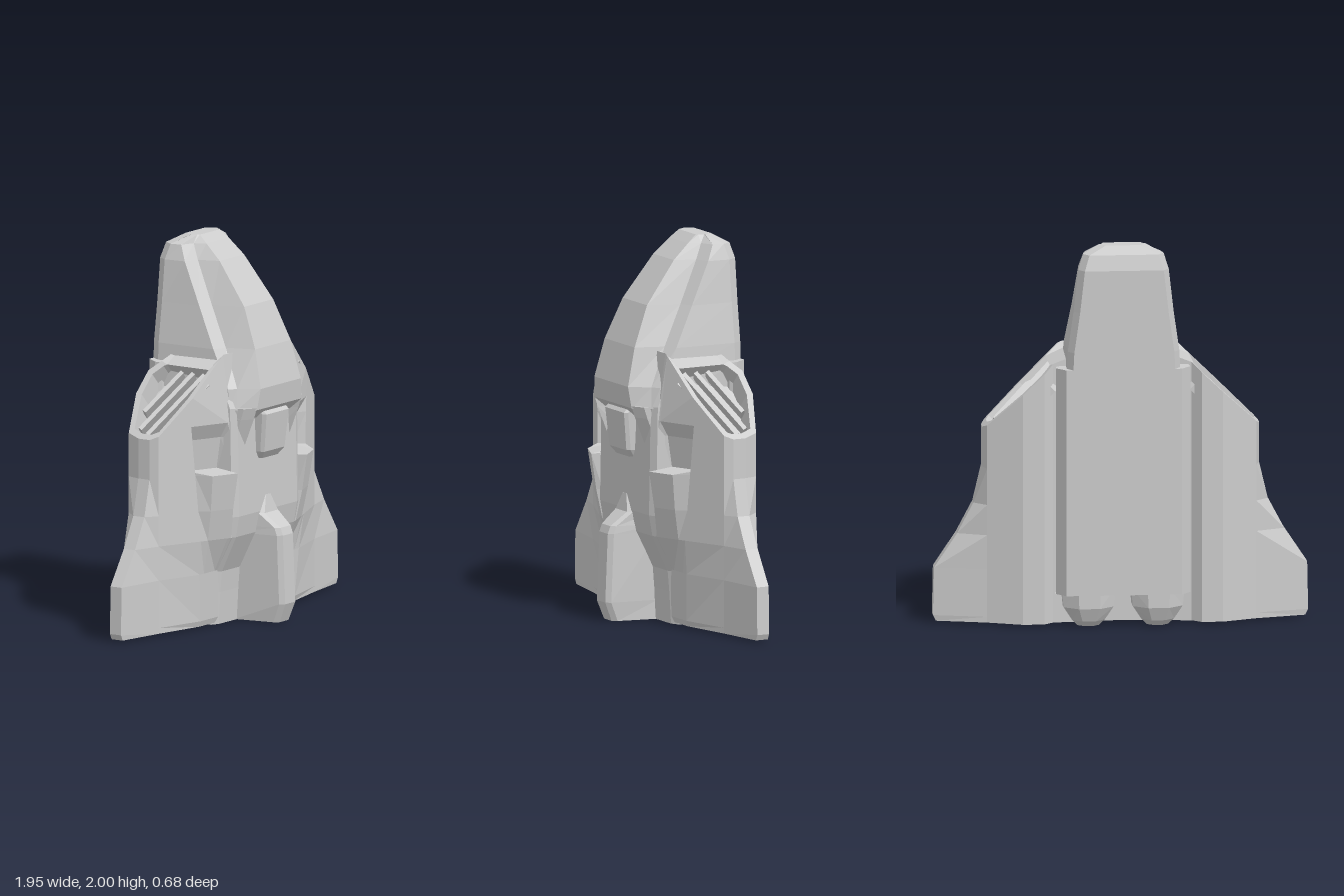
import * as THREE from 'three';

const mat = new THREE.MeshStandardMaterial({ color: 0xcccccc, flatShading: true, side: THREE.DoubleSide });

// Skin a stack of closed rings (bottom to top, front centre -> +x -> back), capped at both ends
function loft(rings) {
  const n = rings[0].length, pos = rings.flat(2), idx = [];
  for (let i = 0; i < rings.length - 1; i++)
    for (let k = 0; k < n; k++) {
      const a = i * n + k, b = i * n + (k + 1) % n;
      idx.push(a, b, b + n, a, b + n, a + n);
    }
  [0, rings.length - 1].forEach((r, top) => {
    const c = pos.length / 3;
    for (let j = 0; j < 3; j++) pos.push(rings[r].reduce((s, p) => s + p[j], 0) / n);
    for (let k = 0; k < n; k++) {
      const a = r * n + k, b = r * n + (k + 1) % n;
      idx.push(c, top ? a : b, top ? b : a);
    }
  });
  const g = new THREE.BufferGeometry();
  g.setAttribute('position', new THREE.Float32BufferAttribute(pos, 3));
  g.setIndex(idx);
  g.computeVertexNormals();
  return g;
}

// Ring at height y from a right half outline of [x, z] points
const sym = (y, half) => [
  ...half.map(([x, z]) => [x, y, z]),
  ...[...half].reverse().map(([x, z]) => [-x, y, z]),
];

function mirror(geo) {
  const g = geo.clone();
  g.scale(-1, 1, 1);
  const ix = g.index.array;
  for (let i = 0; i < ix.length; i += 3) [ix[i], ix[i + 1]] = [ix[i + 1], ix[i]];
  g.computeVertexNormals();
  return g;
}

export function createModel() {
  const group = new THREE.Group();
  const add = (name, geo) => {
    const m = new THREE.Mesh(geo, mat);
    m.name = name;
    group.add(m);
  };
  const pair = (name, geo) => {
    add(name + 'Left', geo);
    add(name + 'Right', mirror(geo));
  };

  // Hull with flat keel: height, front z, keel z
  const hull = ([y, front, rear]) =>
    sym(y, [[0.26, front], [0.3, front - 0.02], [0.35, rear + 0.07], [0.3, rear]]);
  add('hull', loft([
    [0, 0.07, -0.13], [0.17, 0.08, -0.13], [0.17, 0.08, -0.34], [0.28, 0.09, -0.34],
    [0.47, 0.18, -0.34], [0.58, 0.2, -0.34], [1.15, 0.19, -0.34], [1.36, 0.1, -0.34],
  ].map(hull)));

  // Nose and canopy: height, canopy half width and z, base half width and z, hull half width, back z
  const nose = ([y, a, za, b, zb, c, rear]) =>
    sym(y, [[a, za], [b, zb], [c, zb - 0.03], [c + 0.01, rear + 0.05], [c - 0.02, rear]]);
  add('nose', loft([
    [1.08, 0.19, 0.2, 0.26, 0.18, 0.28, -0.34],
    [1.14, 0.2, 0.27, 0.27, 0.19, 0.29, -0.34],
    [1.25, 0.18, 0.28, 0.25, 0.18, 0.29, -0.34],
    [1.45, 0.16, 0.23, 0.21, 0.08, 0.28, -0.34],
    [1.66, 0.13, 0.14, 0.18, -0.03, 0.25, -0.34],
    [1.88, 0.11, -0.03, 0.15, -0.14, 0.225, -0.34],
    [1.96, 0.1, -0.12, 0.13, -0.18, 0.2, -0.32],
    [2, 0.09, -0.17, 0.1, -0.18, 0.11, -0.26],
  ].map(nose)));

  // Side prongs and block below the canopy
  const prong = (y, z) => [[0.2, z], [0.26, z - 0.04], [0.28, 0.1], [0.18, 0.1]].map(([x, d]) => [x, y, d]);
  pair('canopyProng', loft([prong(0.94, 0.19), prong(1.09, 0.25), prong(1.15, 0.27)]));
  const block = ([y, x, z]) => sym(y, [[x - 0.01, z], [x, z - 0.02], [x, 0.15]]);
  add('canopyBlock', loft([[0.86, 0.08, 0.21], [0.9, 0.1, 0.24], [1.1, 0.11, 0.26], [1.12, 0.11, 0.24]].map(block)));

  // Tail fin: height, front half width, front z, base half width
  const fin = ([y, x, z, base]) => sym(y, [[x - 0.02, z], [x, z - 0.025], [base, 0.06]]);
  add('tailFin', loft([
    [0, 0.06, 0.3, 0.1], [0.1, 0.065, 0.34, 0.1], [0.46, 0.065, 0.325, 0.11],
    [0.5, 0.065, 0.31, 0.11], [0.57, 0.08, 0.22, 0.1], [0.66, 0.04, 0.2, 0.06],
  ].map(fin)));

  // Wing cut by the sloped intake plane: height, tip x, front z limit, lift of hatch (negative = recess)
  const plane = x => Math.min(1.43, 1.03 + (0.72 - x) * 0.95);
  const wing = ([y, tip, limit, lift]) => {
    const edge = 0.38 + 0.09 * y;
    const front = [0.2, 0.29, 0.31, edge, edge + 0.04].map((x, i) =>
      [x, Math.min(limit, 0.17, 0.17 - (x - 0.29) * 0.41) + (i === 2 || i === 3 ? lift : 0)]);
    return [
      ...front, [0.7, 0], [tip, -0.045], [tip, -0.115], [0.7, -0.19],
      [0.52, -0.27], [0.41, -0.27], [0.36, -0.22], [0.2, -0.2],
    ].map(([x, z]) => [x, Math.min(y, plane(x)), z]);
  };
  const body = [
    [0.01, 0.96, 0.06, 0], [0.04, 0.975, 0.07, 0], [0.29, 0.97, 0.08, 0], [0.47, 0.85, 0.17, 0],
    [0.63, 0.765, 0.17, 0.035], [0.82, 0.72, 0.17, 0.065], [0.835, 0.72, 0.17, -0.07],
    [1, 0.72, 0.17, -0.045], [1.08, 0.72, 0.17, 0], [1.43, 0.72, 0.12, 0],
  ].map(wing);

  // Intake: rim inset in the sloped plane, then sunk along its normal
  const normal = new THREE.Vector3(0.69, 0.725, 0).normalize();
  const sunk = depth => body[body.length - 1].map(([px, , pz]) => {
    const x = 0.53 + (Math.max(px, 0.35) - 0.53) * 0.87;
    return new THREE.Vector3(x, plane(x), -0.07 + (pz + 0.07) * 0.82).addScaledVector(normal, -depth).toArray();
  });
  pair('wing', loft([...body, sunk(0), sunk(0.11)]));

  // Slanted slats inside each intake: z offset, inner x, outer x
  [[0.05, 0.42, 0.67], [-0.02, 0.38, 0.68], [-0.09, 0.38, 0.66], [-0.16, 0.38, 0.58]].forEach(([c, x0, x1], i) => {
    const at = x => new THREE.Vector3(x, plane(x), c - 0.5 * (x - 0.5)).addScaledVector(normal, -0.06);
    const a = at(x0), b = at(x1);
    const u = b.clone().sub(a).normalize();
    const v = normal.clone().cross(u).normalize();
    const g = new THREE.BoxGeometry(a.distanceTo(b), 0.022, 0.075);
    g.rotateX(0.4);
    g.applyMatrix4(new THREE.Matrix4().makeBasis(u, v, u.clone().cross(v)).setPosition(a.add(b).multiplyScalar(0.5)));
    pair('intakeSlat' + (i + 1), g);
  });

  // Engine lobes with recessed nozzles, separated by a slot: height, half width, half depth
  const lobe = ([y, hx, hz]) => Array.from({ length: 8 }, (_, k) => {
    const t = (k - 2.5) * Math.PI / 4, s = 1 / Math.cos(Math.PI / 8);
    return [0.18 + hx * s * Math.cos(t), y, -0.225 - hz * s * Math.sin(t)];
  });
  pair('engine', loft([
    [0.05, 0.03, 0.03], [0, 0.035, 0.035], [0, 0.055, 0.055],
    [0.03, 0.085, 0.085], [0.1, 0.13, 0.115], [0.2, 0.14, 0.115],
  ].map(lobe)));

  return group;
}
